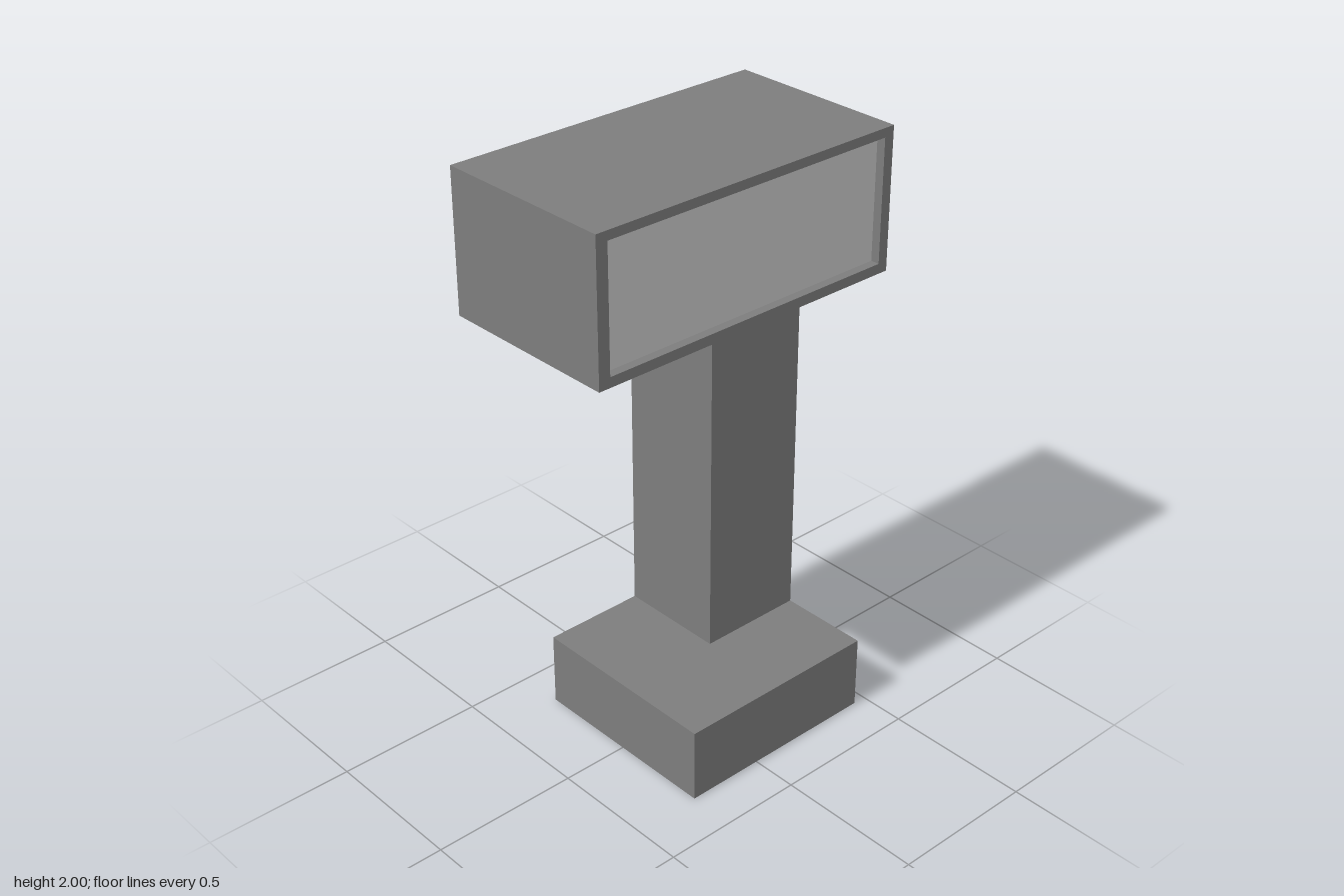
import * as THREE from 'three';

const BACK = -0.343; // shared rear plane

export function createModel() {
  const group = new THREE.Group();
  const dark = new THREE.MeshStandardMaterial({ color: 0x7d7d7d });
  const light = new THREE.MeshStandardMaterial({ color: 0xcccccc });

  const add = (name, geometry, material) => {
    const mesh = new THREE.Mesh(geometry, material);
    mesh.name = name;
    group.add(mesh);
    return mesh;
  };

  // box given by its lower and upper limits on each axis
  const block = (name, [x0, x1], [y0, y1], [z0, z1], material) =>
    add(name, new THREE.BoxGeometry(x1 - x0, y1 - y0, z1 - z0), material)
      .position.set((x0 + x1) / 2, (y0 + y1) / 2, (z0 + z1) / 2);

  const rectangle = (Type, [x0, x1], [y0, y1]) => new Type([
    new THREE.Vector2(x0, y0), new THREE.Vector2(x1, y0),
    new THREE.Vector2(x1, y1), new THREE.Vector2(x0, y1),
  ]);

  // base slab and offset column, flush at the rear corner
  block('base', [-0.27, 0.455], [0, 0.255], [BACK, 0.343], dark);
  block('column', [0.085, 0.455], [0.255, 1.535], [BACK, 0.03], dark);

  // head casing: a rectangular sleeve open at the front and back
  const headFront = 0.28, recess = 0.03;
  const openX = [-0.525, 0.53], openY = [1.568, 1.97];
  const outline = rectangle(THREE.Shape, [-0.565, 0.565], [1.535, 2]);
  outline.holes.push(rectangle(THREE.Path, openX, openY));
  const casing = new THREE.ExtrudeGeometry(outline, { depth: headFront - BACK, bevelEnabled: false });
  add('headCasing', casing, dark).position.z = BACK;

  // recessed light panels filling both openings
  block('lightPanels', openX, openY, [BACK + recess, headFront - recess], light);

  return group;
}
